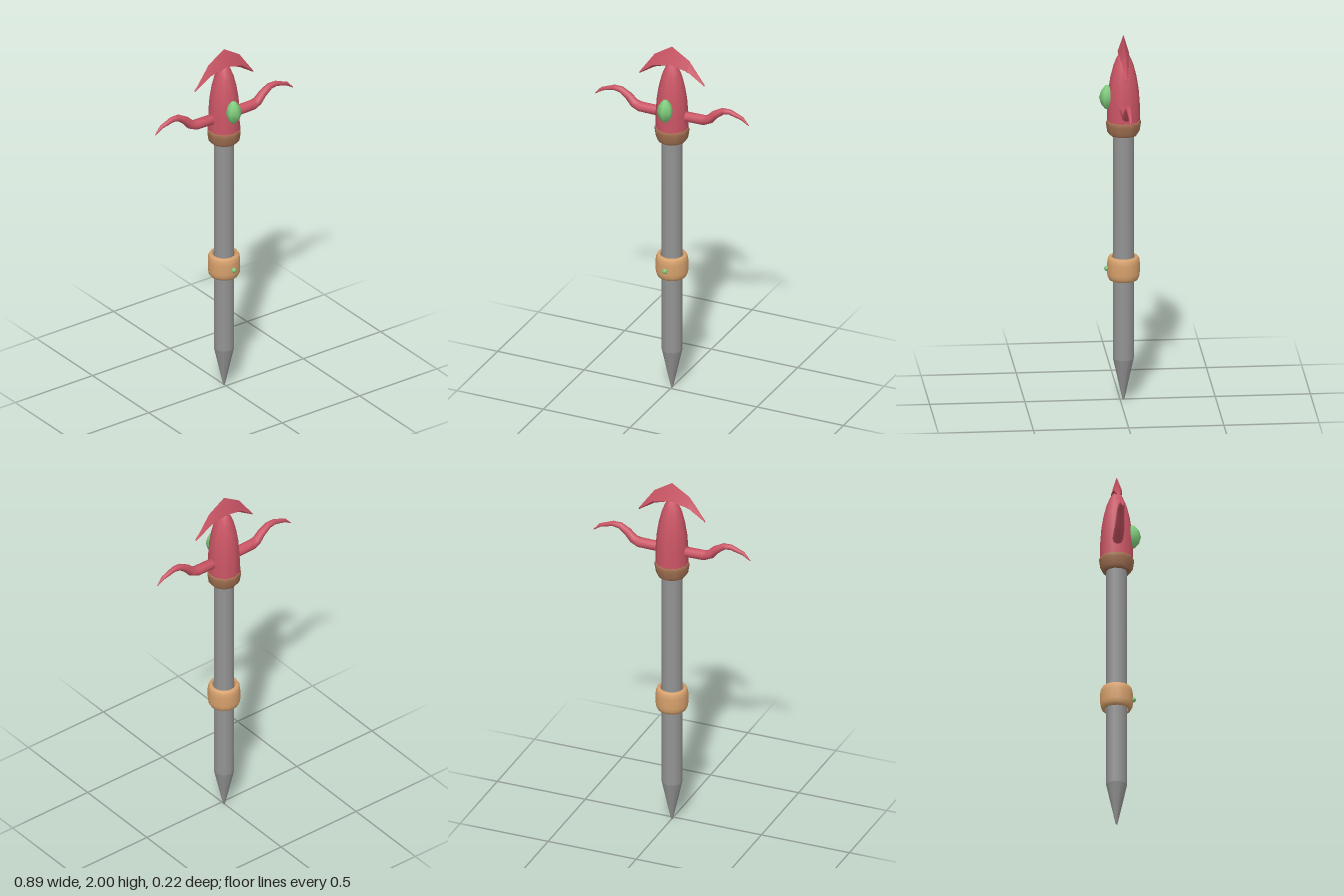
import * as THREE from 'three';
import { toCreasedNormals } from 'three/addons/utils/BufferGeometryUtils.js';

const paint = (name, color) => {
  const m = new THREE.MeshStandardMaterial({ color });
  m.name = name;
  return m;
};

// Skin along +x: each ring is a list of points running from +y towards +z, ends capped.
function skin(rings) {
  const n = rings[0].length, last = (rings.length - 1) * n;
  const index = [];
  for (let i = 0; i < rings.length - 1; i++) {
    for (let j = 0; j < n; j++) {
      const a = i * n + j, b = i * n + (j + 1) % n;
      index.push(a, b, a + n, b, b + n, a + n);
    }
  }
  for (let j = 1; j < n - 1; j++) {
    index.push(0, j + 1, j, last, last + j, last + j + 1);
  }
  const geo = new THREE.BufferGeometry().setFromPoints(rings.flat());
  geo.setIndex(index);
  geo.computeVertexNormals();
  return geo;
}

// Turned shape from [radius, y] pairs; a repeated pair makes a sharp edge.
const turned = (profile, sides) =>
  new THREE.LatheGeometry(profile.map(([r, y]) => new THREE.Vector2(r, y)), sides);

export function createModel() {
  const model = new THREE.Group();
  model.name = 'staff';
  const axis = -0.018; // depth of the shaft axis

  const grey = paint('shaft grey', 0x949494);
  const tan = paint('band tan', 0xd6a06c);
  const brown = paint('collar brown', 0xa37152);
  const red = paint('head red', 0xcb5565);
  const green = paint('gem green', 0x7ecb7b);

  const add = (name, geo, mat, x = 0, y = 0, z = axis) => {
    const mesh = new THREE.Mesh(geo, mat);
    mesh.name = name;
    mesh.position.set(x, y, z);
    model.add(mesh);
    return mesh;
  };

  // Shaft with sharpened foot
  add('shaft', turned([[0, 0], [0.005, 0], [0.005, 0], [0.055, 0.225], [0.055, 0.225],
    [0.055, 1.5]], 10), grey);

  // Loose grip band, open between its inner wall and the shaft
  add('gripBand', turned([[0.062, 0.785], [0.062, 0.66], [0.062, 0.66], [0.075, 0.66], [0.083, 0.675],
    [0.086, 0.695], [0.086, 0.75], [0.083, 0.772], [0.076, 0.785], [0.062, 0.785]], 16), tan);
  add('bandStud', new THREE.SphereGeometry(0.014, 8, 6), green, 0, 0.72, 0.07);

  // Collar below the head
  add('collar', turned([[0.05, 1.455], [0.074, 1.455], [0.074, 1.455], [0.085, 1.472], [0.091, 1.51],
    [0.092, 1.525], [0.088, 1.532], [0.07, 1.532]], 10), brown);

  // Bullet-shaped head
  add('head', turned([[0.087, 1.52], [0.086, 1.62], [0.08, 1.7], [0.069, 1.77], [0.053, 1.835],
    [0.035, 1.88], [0.018, 1.905], [0, 1.913]], 10), red);

  // Crest: sharp upper ridge, widest near its lower edge [x, top, bottom, wideY, halfDepth]
  const crest = [
    [-0.187, 1.815, 1.805, 1.81, 0.006],
    [-0.1, 1.937, 1.862, 1.88, 0.021],
    [0, 2.0, 1.9, 1.905, 0.028],
    [0.1, 1.937, 1.862, 1.88, 0.021],
    [0.187, 1.815, 1.805, 1.81, 0.006],
  ].map(([x, top, bottom, wide, d]) => [
    new THREE.Vector3(x, top, 0), new THREE.Vector3(x, wide, d),
    new THREE.Vector3(x, bottom, 0), new THREE.Vector3(x, wide, -d),
  ]);
  add('crest', toCreasedNormals(skin(crest), 0.5), red);

  // Wavy tapering arms: [x, y, radius]; the second is the first turned half round
  const path = [[0.05, 1.607, 0.028], [0.185, 1.609, 0.028], [0.218, 1.622, 0.025], [0.25, 1.656, 0.022],
    [0.295, 1.685, 0.018], [0.335, 1.688, 0.015], [0.405, 1.665, 0.01], [0.445, 1.63, 0.002]];
  const arm = skin(path.map(([x, y, r], i) => {
    const p = path[Math.max(i - 1, 0)], q = path[Math.min(i + 1, path.length - 1)];
    const tilt = Math.atan2(q[1] - p[1], q[0] - p[0]);
    return Array.from({ length: 8 }, (_, k) => {
      const a = k * Math.PI / 4, up = Math.cos(a) * r;
      return new THREE.Vector3(x - up * Math.sin(tilt), y + up * Math.cos(tilt), Math.sin(a) * r);
    });
  }));
  add('leftArm', arm, red);
  add('rightArm', arm, red).rotation.y = Math.PI;

  // Six-sided gem on the front of the head
  add('gem', turned([[0, -0.066], [0.014, -0.062], [0.034, -0.036], [0.044, 0],
    [0.034, 0.036], [0.014, 0.062], [0, 0.066]], 6), green, 0, 1.66, 0.066);

  return model;
}
